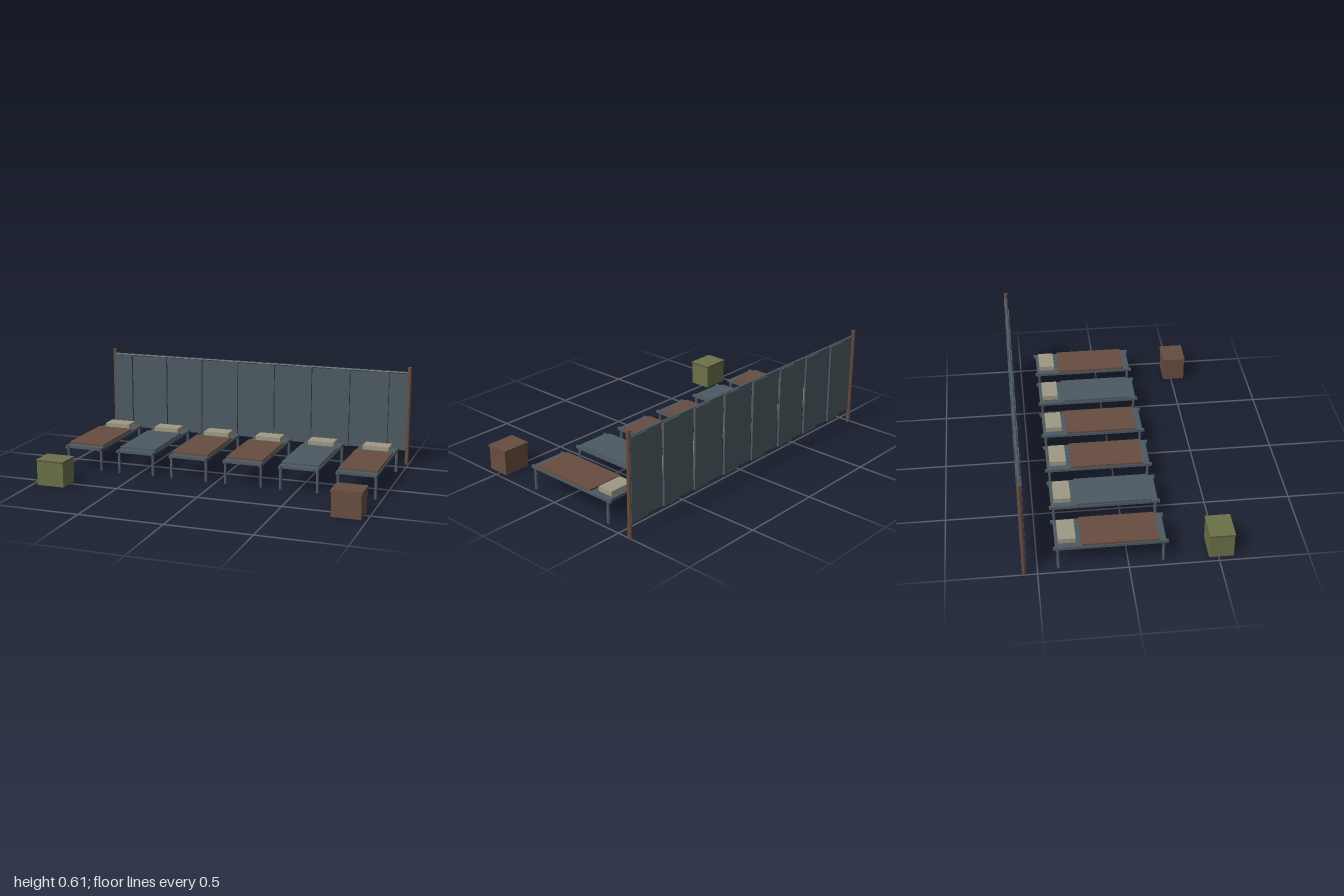
import * as THREE from 'three';

const mat = (name, color) => {
  const m = new THREE.MeshStandardMaterial({ color, flatShading: true });
  m.name = name;
  return m;
};

export function createModel() {
  const slate = mat('slate canvas', 0x4d5a62);
  const brown = mat('brown', 0x684d40);
  const olive = mat('olive', 0x6a7148);
  const linen = mat('linen', 0x9f9885);

  const root = new THREE.Group();
  root.name = 'campWard';

  const add = (parent, name, geo, material, x, y, z) => {
    const mesh = new THREE.Mesh(geo, material);
    mesh.name = name;
    mesh.position.set(x, y, z);
    parent.add(mesh);
    return mesh;
  };
  const group = (name) => {
    const g = new THREE.Group();
    g.name = name;
    root.add(g);
    return g;
  };
  const box = (w, h, d) => new THREE.BoxGeometry(w, h, d);
  const post = (r, h) => new THREE.CylinderGeometry(r, r, h, 8);

  // Six cots in a row, heads towards the screen
  const sideRail = box(0.016, 0.016, 0.63);
  const endRail = box(0.22, 0.014, 0.014);
  const canvas = box(0.224, 0.007, 0.606);
  const leg = post(0.0085, 0.132);
  const blanket = box(0.226, 0.014, 0.425);
  const pillow = box(0.16, 0.03, 0.096);
  for (let i = 0; i < 6; i++) {
    const cot = group('cot');
    cot.position.x = -0.85 + 0.34 * i;
    for (const s of [-1, 1]) {
      add(cot, 'sideRail', sideRail, slate, s * 0.11, 0.137, -0.096);
      for (const z of [-0.385, 0.193]) add(cot, 'leg', leg, slate, s * 0.11, 0.066, z);
    }
    for (const z of [-0.392, 0.2]) add(cot, 'endRail', endRail, slate, 0, 0.136, z);
    add(cot, 'canvasBed', canvas, slate, 0, 0.1425, -0.096);
    add(cot, 'blanket', blanket, i === 1 || i === 4 ? slate : brown, 0, 0.151, -0.043);
    add(cot, 'pillow', pillow, linen, 0, 0.16, -0.333);
  }

  // Hanging screen with staggered canvas strips between two poles
  const screen = group('screen');
  screen.position.z = -0.573;
  const panel = box(0.122, 0.49, 0.012);
  for (let i = 0; i < 16; i++) {
    add(screen, 'screenPanel', panel, slate, (i - 7.5) * 0.1232, 0.331, i % 2 ? -0.0075 : 0.0075);
  }
  const rail = add(screen, 'topRail', post(0.007, 1.97), slate, 0, 0.578, 0);
  rail.rotation.z = Math.PI / 2;
  for (const s of [-1, 1]) add(screen, 'pole', post(0.012, 0.614), brown, s * 0.988, 0.307, 0);

  // Brown crate with an overhanging lid
  const crate = group('brownCrate');
  crate.position.set(0.884, 0, 0.516);
  add(crate, 'crateBody', box(0.167, 0.14, 0.136), brown, 0, 0.07, 0);
  add(crate, 'crateLid', box(0.176, 0.015, 0.144), brown, 0, 0.1465, 0);

  // Olive crate with a brown lid and olive cover
  const draped = group('oliveCrate');
  draped.position.set(-0.884, 0, 0.516);
  add(draped, 'crateBody', box(0.168, 0.143, 0.138), olive, 0, 0.0715, 0);
  add(draped, 'crateLid', box(0.176, 0.008, 0.144), brown, 0, 0.147, 0);
  add(draped, 'lidCover', box(0.175, 0.003, 0.143), olive, 0, 0.1525, 0);

  return root;
}
